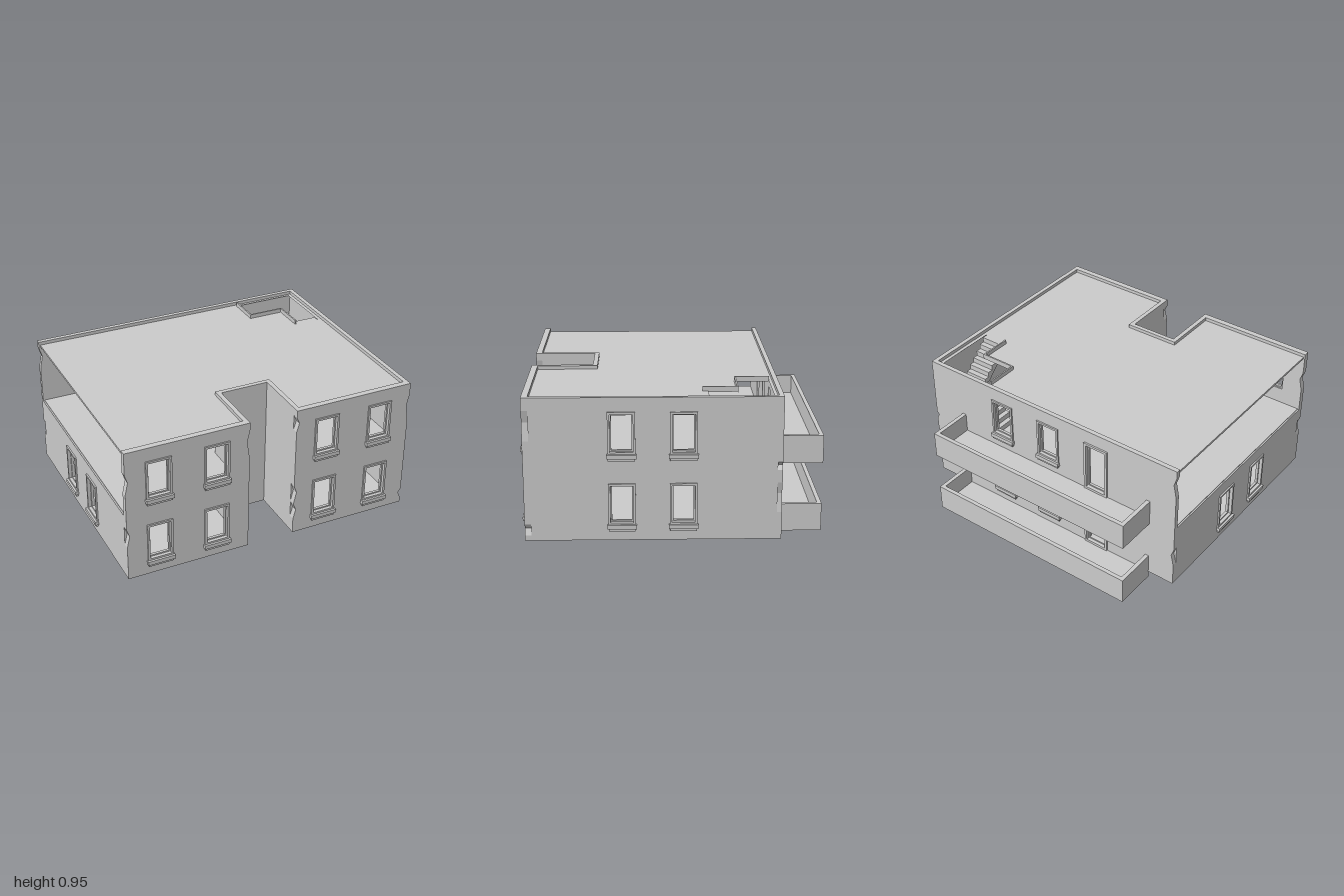
import * as THREE from 'three';

const mat = new THREE.MeshStandardMaterial({ color: 0xcccccc });
const STOREY = 0.45;
const BASE = 0.045, TOP = 0.95;

function mesh(geo, name, parent) {
  const m = new THREE.Mesh(geo, mat);
  m.name = name;
  parent.add(m);
  return m;
}

function box(name, parent, x0, x1, y0, y1, z0, z1) {
  const m = mesh(new THREE.BoxGeometry(x1 - x0, y1 - y0, z1 - z0), name, parent);
  m.position.set((x0 + x1) / 2, (y0 + y1) / 2, (z0 + z1) / 2);
  return m;
}

const poly = (pts) => new THREE.Shape(pts.map(([x, y]) => new THREE.Vector2(x, y)));
const rect = (x0, x1, y0, y1) => poly([[x0, y0], [x1, y0], [x1, y1], [x0, y1]]);

function extrude(shape, z0, z1) {
  return new THREE.ExtrudeGeometry(shape, { depth: z1 - z0, bevelEnabled: false }).translate(0, 0, z0);
}

// Rectangular ring used for the surrounds and sashes
function ring(name, parent, x, hw, y0, y1, w, z0, z1) {
  const s = rect(x - hw, x + hw, y0, y1);
  s.holes.push(rect(x - hw + w, x + hw - w, y0 + w, y1 - w));
  mesh(extrude(s, z0, z1), name, parent);
}

// Window with surround, recessed sash and two-step sill; d is the outer wall plane
function addWindow(parent, x, y, d) {
  const g = new THREE.Group();
  g.name = 'window';
  parent.add(g);
  ring('windowSurround', g, x, 0.084, y + 0.146, y + 0.41, 0.014, d - 0.02, d + 0.01);
  ring('windowSash', g, x, 0.072, y + 0.158, y + 0.398, 0.011, d - 0.03, d - 0.012);
  box('windowSill', g, x - 0.09, x + 0.09, y + 0.122, y + 0.148, d - 0.03, d + 0.024);
  box('sillMoulding', g, x - 0.082, x + 0.082, y + 0.106, y + 0.122, d - 0.02, d + 0.016);
}

function addDoor(parent, x, y, d) {
  const g = new THREE.Group();
  g.name = 'balconyDoor';
  parent.add(g);
  ring('doorSurround', g, x, 0.088, y + 0.052, y + 0.41, 0.016, d - 0.02, d + 0.012);
  ring('doorSash', g, x, 0.074, y + 0.066, y + 0.396, 0.01, d - 0.03, d - 0.012);
}

// Wall facing the turned +z direction, at distance d, with broken corners given as [y0, y1]
function wall(root, o) {
  const { name, turn, d, x0, x1, y0 = BASE, y1 = TOP, t = 0.03 } = o;
  const { windows = [], doors = [], chipsLeft = [], chipsRight = [], storeys = 2 } = o;
  const g = new THREE.Group();
  g.name = name;
  g.rotation.y = turn;
  root.add(g);
  const pts = [[x0, y0], [x1, y0]];
  for (const [a, b] of chipsRight) pts.push([x1, a], [x1 - 0.018, a + (b - a) * 0.6], [x1, b]);
  pts.push([x1, y1], [x0, y1]);
  for (const [a, b] of [...chipsLeft].reverse()) pts.push([x0, b], [x0 + 0.018, a + (b - a) * 0.6], [x0, a]);
  const s = poly(pts);
  for (let i = 0; i < storeys; i++) {
    const y = i * STOREY;
    for (const x of windows) {
      s.holes.push(rect(x - 0.071, x + 0.071, y + 0.159, y + 0.397));
      addWindow(g, x, y, d);
    }
    for (const x of doors) {
      s.holes.push(rect(x - 0.073, x + 0.073, y + 0.067, y + 0.395));
      addDoor(g, x, y, d);
    }
  }
  mesh(extrude(s, d - t, d), name + 'Panel', g);
}

// Horizontal slab following the notched plan, with an L-shaped stairwell
const well = [[0.51, -0.61], [0.92, -0.61], [0.92, -0.18], [0.75, -0.18], [0.75, -0.4], [0.51, -0.4]];
function slab(root, name, y0, y1) {
  const s = poly([[-0.965, -0.645], [0.95, -0.645], [0.95, 0.88], [0.165, 0.88],
    [0.165, 0.505], [-0.165, 0.505], [-0.165, 0.88], [-0.965, 0.88]].map(([x, z]) => [x, -z]));
  s.holes.push(poly(well.map(([x, z]) => [x, -z])));
  mesh(extrude(s, y0, y1).rotateX(-Math.PI / 2), name, root);
}

// Stepped flight along local +x with a sloping underside
function flight(root, name, run, rise, width) {
  const n = 6, pts = [[0, 0]];
  for (let i = 0; i < n; i++) {
    pts.push([(i * run) / n, ((i + 1) * rise) / n], [((i + 1) * run) / n, ((i + 1) * rise) / n]);
  }
  pts.push([run, rise - 0.045], [0.04, 0]);
  return mesh(extrude(poly(pts.reverse()), 0, width), name, root);
}

function stairs(root, y0, y1) {
  const g = new THREE.Group();
  g.name = 'stairs';
  root.add(g);
  const mid = (y0 + y1) / 2;
  flight(g, 'lowerFlight', 0.2, mid - y0, 0.2).position.set(0.51, y0, -0.605);
  box('landing', g, 0.71, 0.92, mid - 0.03, mid, -0.605, -0.4);
  const up = flight(g, 'upperFlight', 0.22, y1 - mid, 0.165);
  up.rotation.y = -Math.PI / 2;
  up.position.set(0.917, mid, -0.4);
}

// Balcony trough with a floor and three parapets
function balcony(root, y) {
  const g = new THREE.Group();
  g.name = 'balcony';
  root.add(g);
  const x0 = -0.79, x1 = 0.73, z0 = -0.94, z1 = -0.655, t = 0.027, h = 0.18;
  box('balconyFloor', g, x0 + t, x1 - t, y, y + 0.05, z0 + t, z1);
  box('balconyFront', g, x0, x1, y, y + h, z0, z0 + t);
  box('balconyEnd', g, x0, x0 + t, y, y + h, z0 + t, z1);
  box('balconyEnd', g, x1 - t, x1, y, y + h, z0 + t, z1);
}

export function createModel() {
  const root = new THREE.Group();
  root.name = 'building';
  const H = Math.PI / 2;

  // Front walls either side of the recess
  wall(root, { name: 'frontWallLeft', turn: 0, d: 0.91, x0: 0.16, x1: 0.975, t: 0.04, windows: [0.375, 0.755],
    chipsLeft: [[0.15, 0.26], [0.27, 0.4], [0.8, 0.9]], chipsRight: [[0.08, 0.15], [0.68, 0.87]] });
  wall(root, { name: 'frontWallRight', turn: 0, d: 0.91, x0: -0.975, x1: -0.16, t: 0.04, windows: [-0.76, -0.38],
    chipsLeft: [[0.28, 0.41], [0.66, 0.8]], chipsRight: [[0.7, 0.9]] });

  // Recess walls
  wall(root, { name: 'recessBackWall', turn: 0, d: 0.51, x0: -0.19, x1: 0.19 });
  wall(root, { name: 'recessSideWall', turn: -H, d: -0.16, x0: 0.51, x1: 0.87 });
  wall(root, { name: 'recessSideWall', turn: H, d: -0.16, x0: -0.87, x1: -0.51 });

  // Side walls; the one on the right is open on the upper storey
  wall(root, { name: 'leftWall', turn: H, d: 0.975, x0: -0.87, x1: 0.63, windows: [-0.315, 0.06] });
  wall(root, { name: 'rightWall', turn: -H, d: 0.975, x0: -0.63, x1: 0.87, y1: 0.495, windows: [0.315, -0.06], storeys: 1 });

  // Back wall with balcony doors
  wall(root, { name: 'backWall', turn: Math.PI, d: 0.66, x0: -0.975, x1: 0.975, windows: [-0.375, 0], doors: [0.38],
    chipsLeft: [[0.22, 0.41], [0.49, 0.54]], chipsRight: [[0.2, 0.33], [0.75, 0.9]] });

  // Floors and roof
  slab(root, 'groundFloor', 0.055, 0.07);
  slab(root, 'upperFloor', 0.485, 0.5);
  slab(root, 'roof', 0.912, 0.927);

  // Low rim round the open side of the roof stairwell
  box('stairwellRim', root, 0.5, 0.51, 0.92, 0.955, -0.61, -0.39);
  box('stairwellRim', root, 0.51, 0.75, 0.92, 0.955, -0.4, -0.39);
  box('stairwellRim', root, 0.74, 0.75, 0.92, 0.955, -0.39, -0.18);

  stairs(root, 0.06, 0.5);
  stairs(root, 0.5, 0.927);

  for (let i = 0; i < 2; i++) balcony(root, i * STOREY);
  return root;
}
